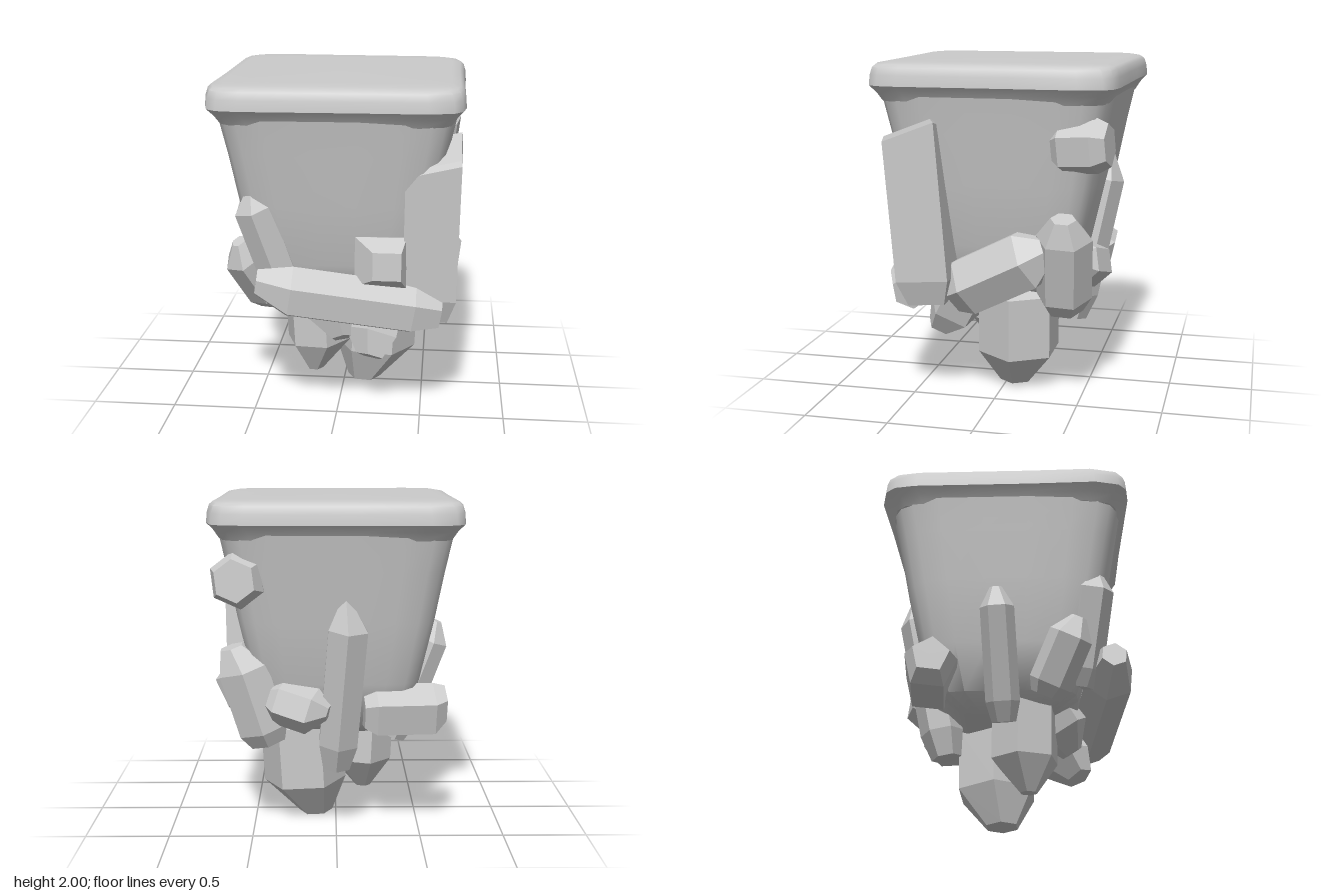
import * as THREE from 'three';
import { toCreasedNormals } from 'three/addons/utils/BufferGeometryUtils.js';

const smooth = new THREE.MeshStandardMaterial({ color: 0xcccccc });
const faceted = new THREE.MeshStandardMaterial({ color: 0xcccccc, flatShading: true });

// Corner outlines for a unit half width: chamfered slab and rounder column
const chamfered = [[1, 0.2], [1, 0.72], [0.975, 0.88], [0.91, 0.96], [0.72, 1.01], [0.2, 1]];
const rounded = [[1, 0.2], [1, 0.58], [0.97, 0.8], [0.91, 0.91], [0.8, 0.97], [0.58, 1], [0.2, 1]];

// Square ring with softened corners, slightly skewed
function outline(corner, half, y) {
  const ring = [];
  for (let q = 0; q < 4; q++) {
    const c = Math.round(Math.cos(q * Math.PI / 2)), s = Math.round(Math.sin(q * Math.PI / 2));
    for (const [a, b] of corner) {
      const x = (a * c - b * s) * half, z = (a * s + b * c) * half;
      ring.push([x, y, z * (1.01 - 0.035 * x) - 0.005]);
    }
  }
  return ring;
}

// Skin stacked outlines from bottom to top and close both ends
function loft(corner, levels, crease) {
  const rings = levels.map(([half, y]) => outline(corner, half, y));
  const n = rings[0].length, pos = rings.flat(2), index = [];
  for (let r = 0; r < rings.length - 1; r++)
    for (let i = 0; i < n; i++) {
      const a = r * n + i, b = r * n + (i + 1) % n;
      index.push(a, a + n, b, b, a + n, b + n);
    }
  const low = pos.length / 3, high = low + 1, last = (rings.length - 1) * n;
  pos.push(0, levels[0][1], 0, 0, levels[levels.length - 1][1], 0);
  for (let i = 0; i < n; i++) {
    const j = (i + 1) % n;
    index.push(low, i, j, high, last + j, last + i);
  }
  const geo = new THREE.BufferGeometry();
  geo.setAttribute('position', new THREE.Float32BufferAttribute(pos, 3));
  geo.setIndex(index);
  return toCreasedNormals(geo, crease);
}

// Prism with bevelled ends between two points; the far end may lean or be cut at a slope
function crystal(name, from, to, r, { sides = 6, tip = 0.16, end = 0.35, spin = 0, lean = 0.2, slope = [0, 0] } = {}) {
  const a = new THREE.Vector3(...from), dir = new THREE.Vector3(...to).sub(a);
  const len = dir.length();
  const profile = [[0, 0], [r * 0.7, 0], [r, len * 0.15], [r, len - tip], [r * end, len], [0, len]];
  const geo = new THREE.LatheGeometry(profile.map(p => new THREE.Vector2(...p)), sides);
  geo.rotateY(spin);
  const p = geo.attributes.position;
  for (let i = 0; i < p.count; i++) {
    const x = p.getX(i), y = p.getY(i);
    if (y > len / 2) p.setY(i, y + slope[0] * x + slope[1] * p.getZ(i));
    if (y > len - 0.001) p.setX(i, x + r * lean);
  }
  const mesh = new THREE.Mesh(geo, faceted);
  mesh.name = name;
  mesh.position.copy(a);
  mesh.quaternion.setFromUnitVectors(new THREE.Vector3(0, 1, 0), dir.normalize());
  return mesh;
}

export function createModel() {
  const model = new THREE.Group();
  model.name = 'floatingPlatform';

  // Tapered rock column
  const body = new THREE.Mesh(loft(rounded, [[0.25, 0.58], [0.41, 0.66], [0.5, 0.93], [0.58, 1.3], [0.635, 1.6], [0.685, 1.84]], 0.8), smooth);
  body.name = 'taperedBody';
  model.add(body);

  // Overhanging top slab
  const slab = new THREE.Mesh(loft(chamfered, [[0.66, 1.78], [0.69, 1.83], [0.725, 1.87], [0.72, 1.93], [0.708, 1.972], [0.69, 1.988], [0.64, 1.998], [0.5, 2]], 0.73), smooth);
  slab.name = 'topSlab';
  model.add(slab);

  const square = Math.PI / 4;
  const crystals = new THREE.Group();
  crystals.name = 'crystals';
  crystals.add(
    // Front
    crystal('tallFrontCrystal', [0.54, 0.6, 0.37], [0.555, 1.61, 0.445], 0.22, { sides: 4, tip: 0.03, end: 0.9, spin: square, lean: 0.05, slope: [0.25, -0.3] }),
    crystal('longFrontCrystal', [0.6, 0.66, 0.48], [-0.46, 0.83, 0.62], 0.16, { tip: 0.2, end: 0.5, spin: Math.PI / 6 }),
    crystal('stubFrontCrystal', [0.26, 0.96, 0.3], [0.26, 0.98, 0.65], 0.21, { sides: 4, tip: 0.1, end: 0.55, spin: square }),
    crystal('slimFrontCrystal', [-0.3, 0.72, 0.42], [-0.51, 1.4, 0.53], 0.125, { tip: 0.13, end: 0.2 }),
    // Side at -x
    crystal('sideCrystalA', [-0.42, 0.62, 0.22], [-0.61, 1.03, 0.42], 0.13, { tip: 0.12 }),
    crystal('sideCrystalB', [-0.37, 0.48, -0.02], [-0.64, 1.22, -0.06], 0.1, { tip: 0.12 }),
    crystal('sideBlock', [-0.16, 0.76, -0.47], [-0.64, 0.76, -0.43], 0.16, { sides: 5, tip: 0.07, end: 0.7, spin: 0.3 }),
    // Back
    crystal('tallBackCrystal', [0, 0.4, -0.38], [-0.08, 1.45, -0.59], 0.13, { tip: 0.18, end: 0.2 }),
    crystal('smallBackCrystal', [0.38, 0.84, -0.46], [0.05, 0.75, -0.55], 0.14, { tip: 0.1 }),
    // Side at +x
    crystal('leaningSideCrystal', [0.49, 0.65, 0.24], [0.56, 0.96, -0.36], 0.19, { tip: 0.16, end: 0.3, spin: 0.4, lean: 0 }),
    crystal('uprightSideCrystal', [0.4, 0.56, -0.4], [0.58, 1.15, -0.43], 0.165, { tip: 0.14, end: 0.45 }),
    crystal('upperCornerChunk', [0.53, 1.54, -0.37], [0.57, 1.56, -0.68], 0.165, { tip: 0.08, end: 0.75, lean: 0 }),
    // Hanging underneath
    crystal('largeHangingCrystal', [0.22, 0.72, -0.09], [0.18, 0, -0.08], 0.255, { tip: 0.23, end: 0.4, lean: 0.25 }),
    crystal('frontHangingCrystal', [-0.17, 0.75, 0.1], [-0.14, 0.12, 0.09], 0.205, { tip: 0.2, end: 0.25, spin: 0.3 }),
    crystal('slantedHangingCrystal', [0.26, 0.72, 0.18], [0.17, 0.33, 0.4], 0.17, { sides: 5, tip: 0.14, end: 0.5 }),
    crystal('shortHangingCrystal', [-0.08, 0.72, 0.22], [0, 0.44, 0.4], 0.17, { sides: 5, tip: 0.14, end: 0.4 })
  );
  model.add(crystals);
  return model;
}
